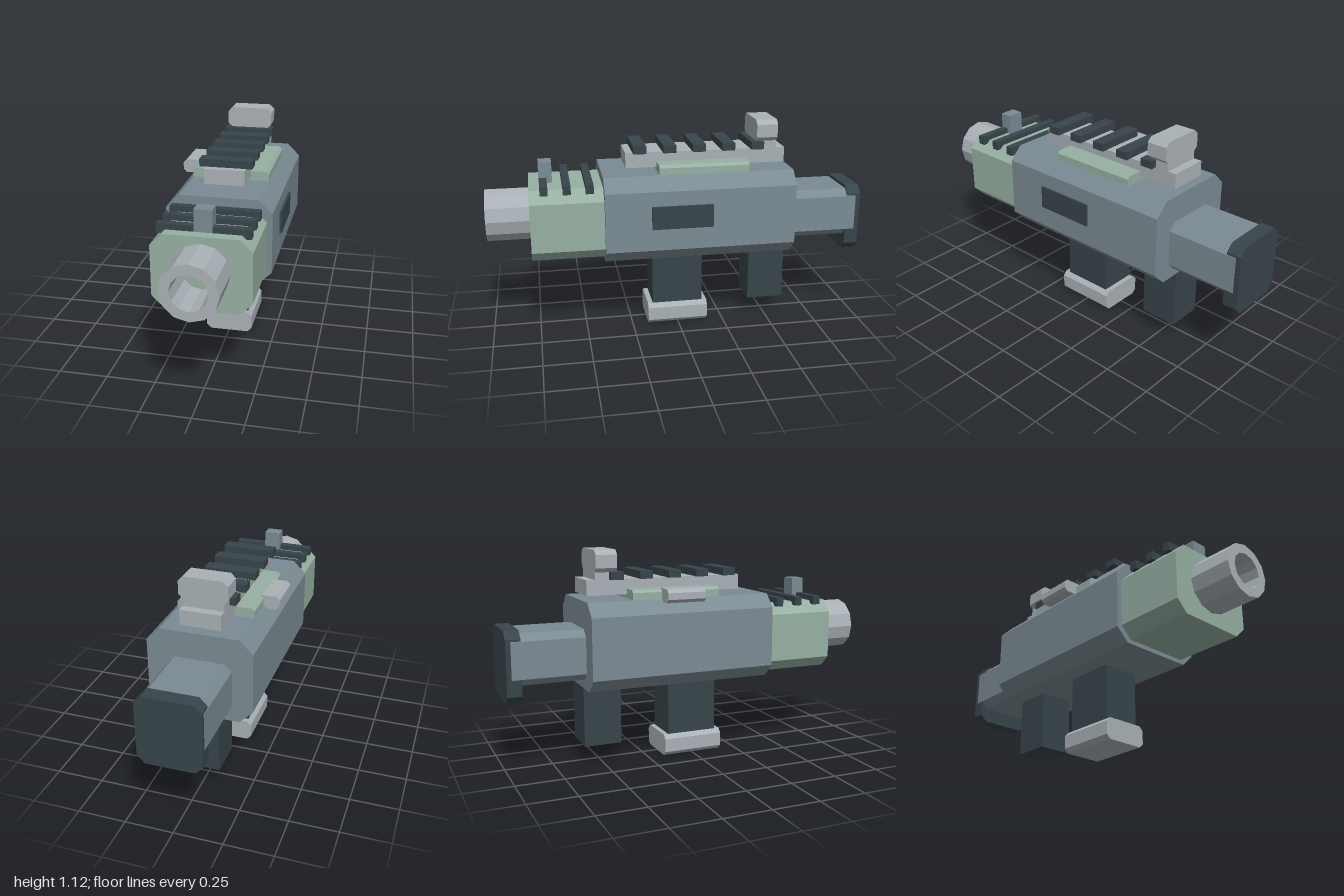
import * as THREE from 'three';

const mat = (color) => new THREE.MeshStandardMaterial({ color, flatShading: true });

export function createModel() {
  const model = new THREE.Group();
  const steel = mat(0x7b8b93), green = mat(0x97b0a3), grey = mat(0xa9b1b6), dark = mat(0x38454a);

  const add = (name, geometry, material) => {
    const mesh = new THREE.Mesh(geometry, material);
    mesh.name = name;
    model.add(mesh);
    return mesh;
  };

  // Plain block between opposite corners
  const block = (name, material, [x0, x1], [y0, y1], [z0, z1]) =>
    add(name, new THREE.BoxGeometry(x1 - x0, y1 - y0, z1 - z0)
      .translate((x0 + x1) / 2, (y0 + y1) / 2, (z0 + z1) / 2), material);

  // Block whose four long edges (along z) are chamfered by c
  const prism = (name, material, [x0, x1], [y0, y1], [z0, z1], c) => {
    const shape = new THREE.Shape([
      [x0 + c, y0], [x1 - c, y0], [x1, y0 + c], [x1, y1 - c],
      [x1 - c, y1], [x0 + c, y1], [x0, y1 - c], [x0, y0 + c],
    ].map(([x, y]) => new THREE.Vector2(x, y)));
    const geometry = new THREE.ExtrudeGeometry(shape, { depth: z1 - z0, bevelEnabled: false });
    return add(name, geometry.translate(0, 0, z0), material);
  };

  // Main body
  prism('receiver', steel, [-0.268, 0.268], [0.415, 0.865], [-0.6, 0.4], 0.068);
  prism('handguard', green, [-0.241, 0.241], [0.437, 0.811], [0.4, 0.775], 0.06);
  block('ejectionPort', dark, [0.25, 0.28], [0.6, 0.72], [-0.157, 0.162]);

  // Hollow twelve-sided barrel
  const ring = [[0.139, 0.775], [0.139, 1], [0.09, 1], [0.09, 0.775]];
  const barrel = new THREE.LatheGeometry(ring.map(([r, z]) => new THREE.Vector2(r, z)), 12);
  add('barrel', barrel.rotateX(Math.PI / 2).translate(0, 0.64, 0), grey);

  // Stock and butt pad
  prism('stock', steel, [-0.163, 0.163], [0.465, 0.725], [-0.975, -0.6], 0.036);
  prism('buttPad', dark, [-0.161, 0.161], [0.38, 0.74], [-1, -0.925], 0.038);

  // Grip and magazine
  block('grip', dark, [-0.095, 0.095], [0.1, 0.43], [-0.6, -0.4]);
  block('magazine', dark, [-0.102, 0.102], [0.1, 0.43], [-0.135, 0.138]);
  prism('magazineBase', grey, [-0.125, 0.125], [0, 0.115], [-0.162, 0.165], 0.022);

  // Top cover with charging handle on the right side
  prism('topCover', green, [-0.2, 0.2], [0.85, 0.915], [-0.362, 0.112], 0.014);
  prism('chargingHandle', grey, [-0.283, -0.17], [0.85, 0.92], [-0.206, 0], 0.018);

  // Top rail and its cross slats
  block('topRail', grey, [-0.104, 0.104], [0.886, 0.965], [-0.575, 0.275]);
  for (let i = 0; i < 5; i++) {
    const z = 0.203 - i * 0.156;
    block('railSlat', dark, [-0.136, 0.136], [0.964, 1.004], [z - 0.034, z + 0.034]);
  }
  prism('rearSight', grey, [-0.124, 0.124], [1.0, 1.115], [-0.53, -0.418], 0.024);
  block('rearSightPost', grey, [-0.104, 0.104], [0.96, 1.002], [-0.53, -0.455]);

  // Handguard ribs and front sight
  for (let i = 0; i < 3; i++) {
    const z = 0.7 - i * 0.115;
    block('handguardRib', dark, [-0.224, 0.224], [0.792, 0.839], [z - 0.02, z + 0.02]);
  }
  block('frontSight', steel, [-0.044, 0.044], [0.8, 0.921], [0.652, 0.721]);

  return model;
}
